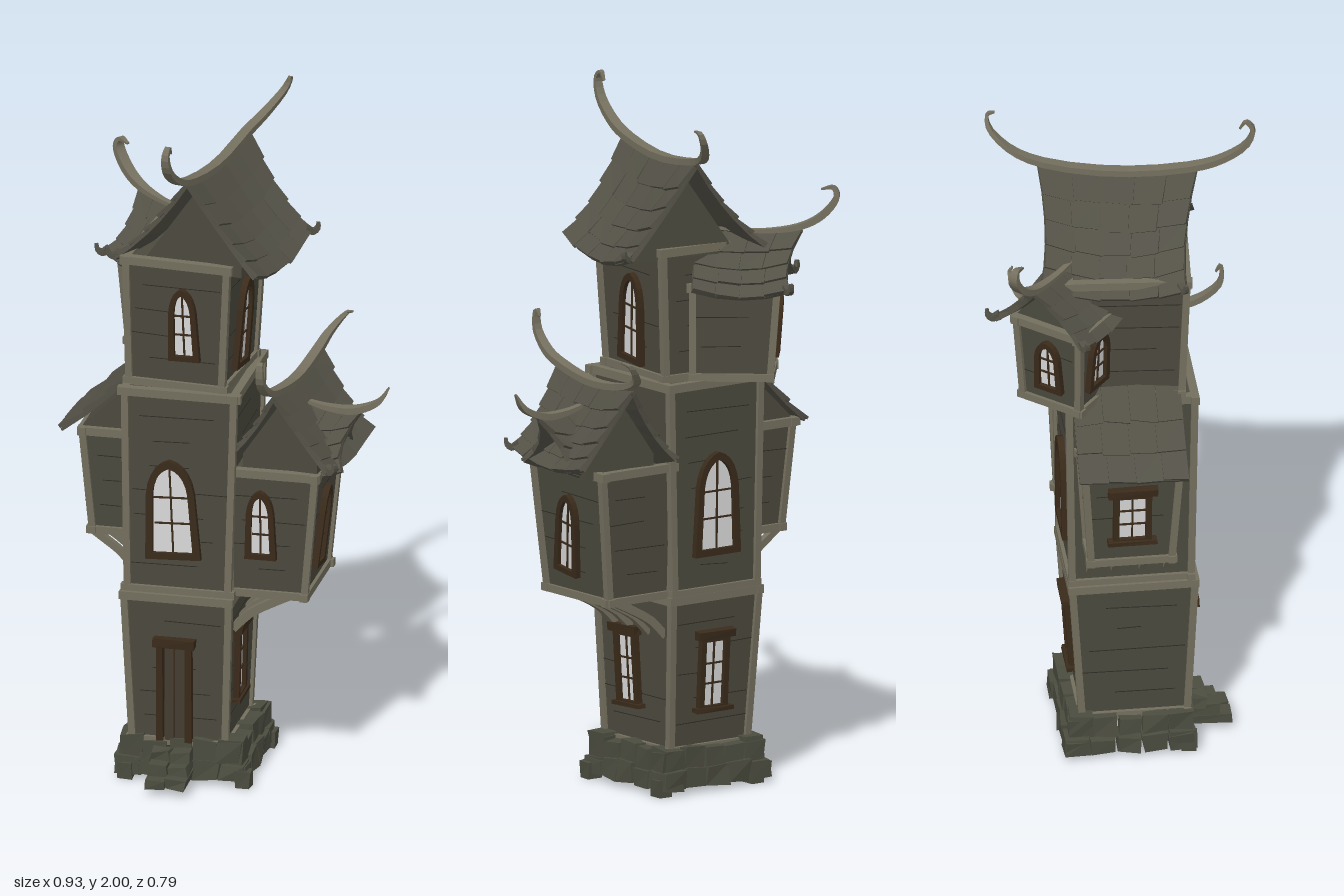
import * as THREE from 'three';

const mat = (name, color) => Object.assign(new THREE.MeshStandardMaterial({ color, flatShading: true }), { name });
const M = {
  wall: mat('wall planks', 0x4c4a3e), roof: mat('roof shingles', 0x535146), trim: mat('pale timber', 0x746f5e),
  stone: mat('stone', 0x4b4c3f), frame: mat('dark brown wood', 0x3a2b1b), glass: mat('window glass', 0xdadada),
  gap: mat('dark gaps', 0x2c2a23), door: mat('door wood', 0x453d31),
};
const V = (x, y, z) => new THREE.Vector3(x, y, z);
let seed = 7;
const rnd = () => (seed = (seed * 16807) % 2147483647) / 2147483647;
const jit = a => (rnd() - 0.5) * 2 * a;

// six-sided block from two loops of four corners; faces always turn outward
function hex(out, a, b) {
  const p = [...a, ...b], mid = V(0, 0, 0);
  p.forEach(q => mid.addScaledVector(q, 1 / 8));
  for (const f of [[0, 1, 2, 3], [4, 5, 6, 7], [0, 1, 5, 4], [1, 2, 6, 5], [2, 3, 7, 6], [3, 0, 4, 7]]) {
    let [q, r, s, t] = f.map(i => p[i]);
    const n = s.clone().sub(q).cross(t.clone().sub(r));
    const c = q.clone().add(r).add(s).add(t).multiplyScalar(0.25).sub(mid);
    if (n.dot(c) < 0) [r, t] = [t, r];
    for (const k of [q, r, s, q, s, t]) out.push(k.x, k.y, k.z);
  }
}
function add(group, name, material, out) {
  const g = new THREE.BufferGeometry();
  g.setAttribute('position', new THREE.Float32BufferAttribute(out, 3));
  g.computeVertexNormals();
  const m = new THREE.Mesh(g, material);
  m.name = name;
  group.add(m);
}
const loop = (y, [x0, x1, z0, z1], j = 0) =>
  [[x0, z1], [x1, z1], [x1, z0], [x0, z0]].map(([x, z]) => V(x + jit(j), y + jit(j), z + jit(j)));
const box = (out, x0, x1, y0, y1, z0, z1, j = 0) => {
  const b = loop(y0, [x0, x1, z0, z1], j).map(p => (p.y = Math.max(p.y, 0), p));
  hex(out, b, loop(y1, [x0, x1, z0, z1], j));
};
// straight beam, lengthened by e at both ends
function beam(out, a, b, w, e = 0) {
  const d = b.clone().sub(a).normalize();
  const s = d.clone().cross(Math.abs(d.y) > 0.8 ? V(0, 0, 1) : V(0, 1, 0)).normalize().multiplyScalar(w / 2);
  const n = s.clone().cross(d);
  const ring = p => [[1, 1], [-1, 1], [-1, -1], [1, -1]].map(([i, k]) => p.clone().addScaledVector(s, i).addScaledVector(n, k));
  hex(out, ring(a.clone().addScaledVector(d, -e)), ring(b.clone().addScaledVector(d, e)));
}
// curved beam whose width follows width(t); flat is its thickness as a share of the width
function sweep(out, pts, side, width, n = 22, flat = 1) {
  const c = new THREE.CatmullRomCurve3(pts.map(p => V(...p)));
  const rings = [];
  for (let i = 0; i <= n; i++) {
    const t = i / n, p = c.getPoint(t), w = width(t) / 2;
    const up = side.clone().cross(c.getTangent(t)).normalize();
    rings.push([[1, 1], [-1, 1], [-1, -1], [1, -1]].map(([a, b]) => p.clone().addScaledVector(side, a * w).addScaledVector(up, b * w * flat)));
  }
  for (let i = 0; i < n; i++) hex(out, rings[i], rings[i + 1]);
}
// storey: tapered walls, plank seams, corner posts, ring beams; returns faces front, right, back, left
function storey(group, name, y0, r0, y1, r1, openBelow = false) {
  const b = loop(y0, r0), t = loop(y1, r1), wall = [], trim = [], seam = [], faces = [];
  hex(wall, b, t);
  if (openBelow) wall.splice(0, 18);
  for (let i = 0; i < 4; i++) {
    const k = (i + 1) % 4, f = [b[i], b[k], t[k], t[i]];
    faces.push(f);
    beam(trim, b[i], t[i], 0.02);
    beam(trim, b[i], b[k], 0.022, 0.015 + jit(0.006));
    beam(trim, t[i], t[k], 0.024, 0.016 + jit(0.006));
    const n = f[1].clone().sub(f[0]).cross(f[3].clone().sub(f[0])).normalize();
    const at = (u, v) => f[0].clone().lerp(f[1], u).lerp(f[3].clone().lerp(f[2], u), v);
    const rows = Math.round((y1 - y0) / 0.075);
    for (let r = 1; r < rows; r++) {
      const v = r / rows, u0 = rnd() * 0.4, u1 = 0.55 + rnd() * 0.43, h = 0.002 / (y1 - y0), s = jit(0.012);
      const q = [at(u0, v), at(u1, v + s), at(u1, v + s + h), at(u0, v + h)];
      hex(seam, q, q.map(p => p.clone().addScaledVector(n, 0.0015)));
    }
  }
  add(group, name + 'Walls', M.wall, wall);
  add(group, name + 'Timbers', M.trim, trim);
  add(group, name + 'PlankSeams', M.gap, seam);
  return faces;
}
// frame placed on a wall face at fraction u and height y
function onFace(parent, name, f, u, y, lean = 0) {
  const g = new THREE.Group(), v = (y - f[0].y) / (f[3].y - f[0].y);
  const right = f[1].clone().sub(f[0]).normalize();
  const n = right.clone().cross(f[3].clone().sub(f[0])).normalize();
  const p = f[0].clone().lerp(f[1], u).lerp(f[3].clone().lerp(f[2], u), v);
  g.applyMatrix4(new THREE.Matrix4().makeBasis(right, n.clone().cross(right), n).setPosition(p));
  g.rotateZ(lean);
  g.name = name;
  parent.add(g);
  return g;
}
function outline(S, w, h, t, arched) {
  const a = w / 2 - t, top = h - t * 1.2, s = new S();
  s.moveTo(-a * (arched ? 1.15 : 1), t);
  s.lineTo(a * (arched ? 1.15 : 1), t);
  if (arched) {
    s.lineTo(a, h * 0.66);
    s.quadraticCurveTo(a * 0.85, top * 0.95, 0, top);
    s.quadraticCurveTo(-a * 0.85, top * 0.95, -a, h * 0.66);
  } else { s.lineTo(a, top); s.lineTo(-a, top); }
  s.closePath();
  return s;
}
function windowOn(parent, f, u, y, w, h, arched = true, lean = 0) {
  const g = onFace(parent, 'window', f, u, y, lean), t = 0.011 + w * 0.06;
  const rim = outline(THREE.Shape, w, h, 0, arched);
  rim.holes.push(outline(THREE.Path, w, h, t, arched));
  const frame = new THREE.Mesh(new THREE.ExtrudeGeometry(rim, { depth: 0.018, bevelEnabled: false, curveSegments: 5 }), M.frame);
  frame.name = 'windowFrame';
  const pane = new THREE.Mesh(new THREE.ShapeGeometry(outline(THREE.Shape, w, h, t, arched), 5), M.glass);
  pane.position.z = 0.006;
  pane.name = 'windowPane';
  g.add(frame, pane);
  const bars = [];
  box(bars, -0.0025, 0.0025, t, h - t, 0.004, 0.01);
  for (const k of [0.36, 0.62]) box(bars, -w / 2 + t, w / 2 - t, h * k - 0.0025, h * k + 0.0025, 0.004, 0.01);
  if (!arched) for (const k of [-0.012, h - 0.012]) box(bars, -w * 0.64, w * 0.64, k, k + 0.024, 0, 0.026, 0.002);
  add(g, 'windowBars', M.frame, bars);
}
// rows of uneven shingles over a surface P(u, v), v running down the slope
function shingles(group, name, P, rows, cols) {
  const tile = [];
  const off = (u, v, d) => {
    const e = 0.02, n = P(u + e, v).sub(P(u - e, v)).cross(P(u, v + e).sub(P(u, v - e))).normalize();
    return P(u, v).addScaledVector(n, n.y < 0 ? -d : d);
  };
  for (let r = 0; r < rows; r++) for (let c = 0; c < cols; c++) {
    const sh = c => (c <= 0 ? 0 : c >= cols ? 1 : (c + (r % 2 ? 0.06 : -0.06)) / cols);
    const u0 = sh(c) + 0.0025, u1 = sh(c + 1) - 0.0025, v0 = r / rows;
    const va = (r + 1.06 + jit(0.07)) / rows, vb = (r + 1.06 + jit(0.07)) / rows, h = 0.01 + rnd() * 0.005;
    hex(tile, [off(u0, v0, -0.003), off(u1, v0, -0.003), off(u1, vb, 0.002), off(u0, va, 0.002)],
      [off(u0, v0, 0.004), off(u1, v0, 0.004), off(u1, vb, h), off(u0, va, h)]);
    const q = [[c / cols, v0], [(c + 1) / cols, v0], [(c + 1) / cols, (r + 1) / rows], [c / cols, (r + 1) / rows]];
    hex(tile, q.map(([u, v]) => off(u, v, -0.008)), q.map(([u, v]) => off(u, v, 0)));
  }
  add(group, name + 'Shingles', M.roof, tile);
}
// gable roof with its ridge on local z and a curled ridge beam; horns lists curled corners as [side, end]
function gable(group, name, { yr, ye, hw, left = 1, lift = 0.012, z0, z1, w0, w1, yb, rows, cols, ridge, horns = [] }) {
  const curls = [], wall = [], spine = [], h = yr - ye;
  for (const s of [-1, 1]) {
    const P = (u, v) => {
      const k = (2 * u - 1) ** 2;
      return V(s * hw * v * (s < 0 ? left : 1), yr + lift * k - h * (1.3 * v - 0.3 * v * v) + 0.01 * k * v,
        THREE.MathUtils.lerp(z1, z0, u) * (1.1 - 0.45 * v + 0.35 * v * v));
    };
    shingles(group, name, P, rows, cols);
    for (const [, d] of horns.filter(q => q[0] === s)) {
      const c = P(d > 0 ? 0.04 : 0.96, 0.95);
      sweep(curls, [[0, 0.008, 0], [0.018, -0.002, 0.01], [0.03, 0.008, 0.017], [0.032, 0.025, 0.018]]
        .map(([x, y, z]) => [c.x + s * x, c.y + y, c.z + d * z]), V(-0.5 * s * d, 0, 0.85).normalize(), t => 0.022 - 0.012 * t, 6);
    }
  }
  const a = hw * 0.72, y = yr - 0.82 * h;
  box(wall, -a, a, yb, y, w0, w1);
  hex(wall, [V(-a, y, w1), V(a, y, w1), V(0, yr - 0.02, w1), V(0, yr - 0.02, w1)],
    [V(-a, y, w0), V(a, y, w0), V(0, yr - 0.02, w0), V(0, yr - 0.02, w0)]);
  sweep(spine, ridge, V(1, 0, 0), t => 0.008 + 0.024 * Math.sin(Math.PI * Math.min(Math.max(t, 0), 1)), 30, 0.6);
  if (curls.length) add(group, name + 'EaveHorns', M.roof, curls);
  add(group, name + 'GableWall', M.wall, wall);
  add(group, name + 'RidgeBeam', M.trim, spine);
}
function sub(parent, name, x, z, ry) {
  const g = new THREE.Group();
  g.name = name;
  g.position.set(x, 0, z);
  g.rotation.y = ry;
  parent.add(g);
  return g;
}

export function createModel() {
  seed = 7;
  const root = new THREE.Group();
  root.name = 'crookedTower';

  // stone footing ring and front steps
  const stones = [];
  for (const [y0, y1, x0, x1, z0, z1] of [[0.015, 0.068, -0.3, 0.085, -0.185, 0.19], [0.066, 0.128, -0.285, 0.07, -0.17, 0.185]]) {
    for (let i = 0; i < 5; i++) {
      const a = x0 + (x1 - x0) * i / 5, b = x0 + (x1 - x0) * (i + 1) / 5 - 0.004;
      const c = z0 + (z1 - z0) * i / 5, d = z0 + (z1 - z0) * (i + 1) / 5 - 0.004;
      for (const z of [z0, z1 - 0.07]) box(stones, a, b, y0, y1 + jit(0.008), z, z + 0.07, 0.006);
      for (const x of [x0, x1 - 0.07]) box(stones, x, x + 0.07, y0, y1 + jit(0.008), c, d, 0.006);
    }
  }
  for (let i = 0; i < 3; i++) for (let k = 0; k < 2; k++)
    box(stones, -0.185 + k * 0.06, -0.13 + k * 0.06, 0.022 + i * 0.026, 0.05 + i * 0.028, 0.18, 0.305 - i * 0.035, 0.005);
  for (const [x, z] of [[-0.29, 0.15], [0.05, 0.15], [-0.28, -0.18], [0.05, -0.18]]) box(stones, x, x + 0.045, 0, 0.05, z, z + 0.045, 0.004);
  add(root, 'stoneFooting', M.stone, stones);

  // ground floor with door
  const ground = storey(root, 'groundFloor', 0.12, [-0.25, 0.02, -0.13, 0.17], 0.56, [-0.27, 0.035, -0.16, 0.19], true);
  windowOn(root, ground[1], 0.42, 0.225, 0.1, 0.225, false, 0.04);
  windowOn(root, ground[2], 0.5, 0.225, 0.1, 0.225, false);
  const door = onFace(root, 'door', ground[0], 0.46, 0.125, -0.01);
  const jamb = [], leaf = [];
  for (const s of [-1, 1]) box(jamb, s * 0.041 - 0.009, s * 0.041 + 0.009, 0, 0.3, 0, 0.022, 0.002);
  box(jamb, -0.062, 0.062, 0.29, 0.316, 0, 0.03, 0.003);
  box(jamb, -0.036, 0.036, 0, 0.29, 0, 0.005);
  for (const x of [-0.029, 0.002]) box(leaf, x, x + 0.027, 0, 0.285, 0.004, 0.012);
  add(door, 'doorFrame', M.frame, jamb);
  add(door, 'doorPlanks', M.door, leaf);

  // middle floor
  const mid = storey(root, 'middleFloor', 0.58, [-0.262, 0.03, -0.16, 0.18], 1.18, [-0.268, 0.05, -0.17, 0.19]);
  windowOn(root, mid[0], 0.46, 0.68, 0.14, 0.3, true, 0.04);
  windowOn(root, mid[2], 0.5, 0.68, 0.14, 0.3);

  // right wing with its two crossing roofs
  const wing = storey(root, 'rightWing', 0.58, [0.03, 0.245, -0.14, 0.145], 0.95, [0.03, 0.28, -0.155, 0.165]);
  windowOn(root, wing[0], 0.4, 0.69, 0.08, 0.21);
  windowOn(root, wing[1], 0.38, 0.64, 0.09, 0.24, true, -0.14);
  gable(sub(root, 'rightWingRoof', 0.19, 0, -0.11), 'rightWingRoof', {
    yr: 1.18, ye: 0.955, hw: 0.155, lift: 0.02, z0: -0.195, z1: 0.19, w0: -0.14, w1: 0.15, yb: 0.94, rows: 5, cols: 5, horns: [[1, 1]],
    ridge: [[0, 1.325, 0.305], [0, 1.343, 0.318], [0, 1.29, 0.318], [0, 1.235, 0.26], [0, 1.21, 0.18], [0, 1.188, 0],
      [0, 1.21, -0.18], [0.01, 1.24, -0.25], [0.05, 1.29, -0.28], [0.07, 1.3, -0.27]],
  });
  gable(sub(root, 'sideGable', 0, 0.015, Math.PI / 2), 'sideGable', {
    yr: 1.1, ye: 0.94, hw: 0.11, z0: 0.2, z1: 0.35, w0: 0.2, w1: 0.29, yb: 0.94, rows: 4, cols: 3,
    ridge: [[0, 1.14, 0.17], [0, 1.112, 0.28], [0, 1.11, 0.36], [0, 1.14, 0.43], [0, 1.185, 0.46]],
  });

  // left wing with shed roof
  const bay = storey(root, 'leftWing', 0.72, [-0.38, -0.26, -0.12, 0.11], 1.025, [-0.405, -0.265, -0.14, 0.13]);
  windowOn(root, bay[3], 0.5, 0.79, 0.11, 0.18, false);
  const cheek = [];
  const tri = z => [V(-0.405, 1.02, z), V(-0.25, 1.02, z), V(-0.25, 1.19, z), V(-0.405, 1.04, z)];
  hex(cheek, tri(0.125), tri(-0.135));
  add(root, 'leftWingCheeks', M.wall, cheek);
  shingles(root, 'leftWingRoof', (u, v) =>
    V(-0.25 - (0.215 - 0.025 * u) * v, 1.225 - 0.195 * v - 0.012 * Math.sin(Math.PI * v), 0.15 - 0.31 * u), 3, 4);

  // braces below both wings
  const braces = [];
  for (const z of [0.11, 0.04, -0.04, -0.11]) {
    sweep(braces, [[0.2, 0.57, z], [0.14, 0.54, z], [0.08, 0.505, z], [0.03, 0.455, z]], V(0, 0, 1), () => 0.024, 6);
    sweep(braces, [[-0.375, 0.715, z], [-0.34, 0.69, z], [-0.3, 0.66, z], [-0.265, 0.62, z]], V(0, 0, 1), () => 0.02, 6);
  }
  add(root, 'wingBraces', M.trim, braces);

  // top floor and main roof
  const upper = sub(root, 'topFloor', -0.11, 0, -0.08);
  const top = storey(upper, 'topFloor', 1.2, [-0.14, 0.135, -0.14, 0.165], 1.57, [-0.145, 0.155, -0.155, 0.18]);
  windowOn(upper, top[0], 0.6, 1.28, 0.08, 0.22, true, 0.03);
  windowOn(upper, top[1], 0.46, 1.225, 0.105, 0.265, true, -0.1);
  gable(sub(root, 'mainRoof', -0.042, 0, -0.17), 'mainRoof', {
    yr: 1.805, ye: 1.53, hw: 0.2, left: 1.17, lift: 0.03, z0: -0.21, z1: 0.205, w0: -0.15, w1: 0.17, yb: 1.55, rows: 5, cols: 5,
    horns: [[-1, 1], [1, -1]],
    ridge: [[0, 1.97, 0.345], [0, 1.993, 0.362], [0, 1.97, 0.382], [0, 1.92, 0.365], [0, 1.87, 0.3], [0, 1.84, 0.22],
      [0, 1.815, 0], [0, 1.84, -0.22], [0.02, 1.87, -0.31], [0.05, 1.92, -0.37], [0.065, 1.955, -0.375], [0.07, 1.96, -0.355]],
  });

  // dormer turned to the back corner
  const dormer = sub(root, 'cornerDormer', -0.1, -0.085, -2.265);
  const turret = storey(dormer, 'dormer', 1.2, [-0.085, 0.1, 0, 0.22], 1.46, [-0.095, 0.115, 0, 0.24]);
  windowOn(dormer, turret[0], 0.5, 1.25, 0.08, 0.17);
  windowOn(dormer, turret[1], 0.36, 1.255, 0.09, 0.18);
  gable(dormer, 'dormerRoof', {
    yr: 1.6, ye: 1.44, hw: 0.145, z0: 0, z1: 0.28, w0: 0, w1: 0.23, yb: 1.45, rows: 4, cols: 4, horns: [[-1, 1], [1, 1]],
    ridge: [[0, 1.62, 0], [0, 1.608, 0.2], [0, 1.625, 0.31], [0, 1.66, 0.37], [0, 1.71, 0.405], [0, 1.735, 0.395], [0, 1.73, 0.36]],
  });
  return root;
}
